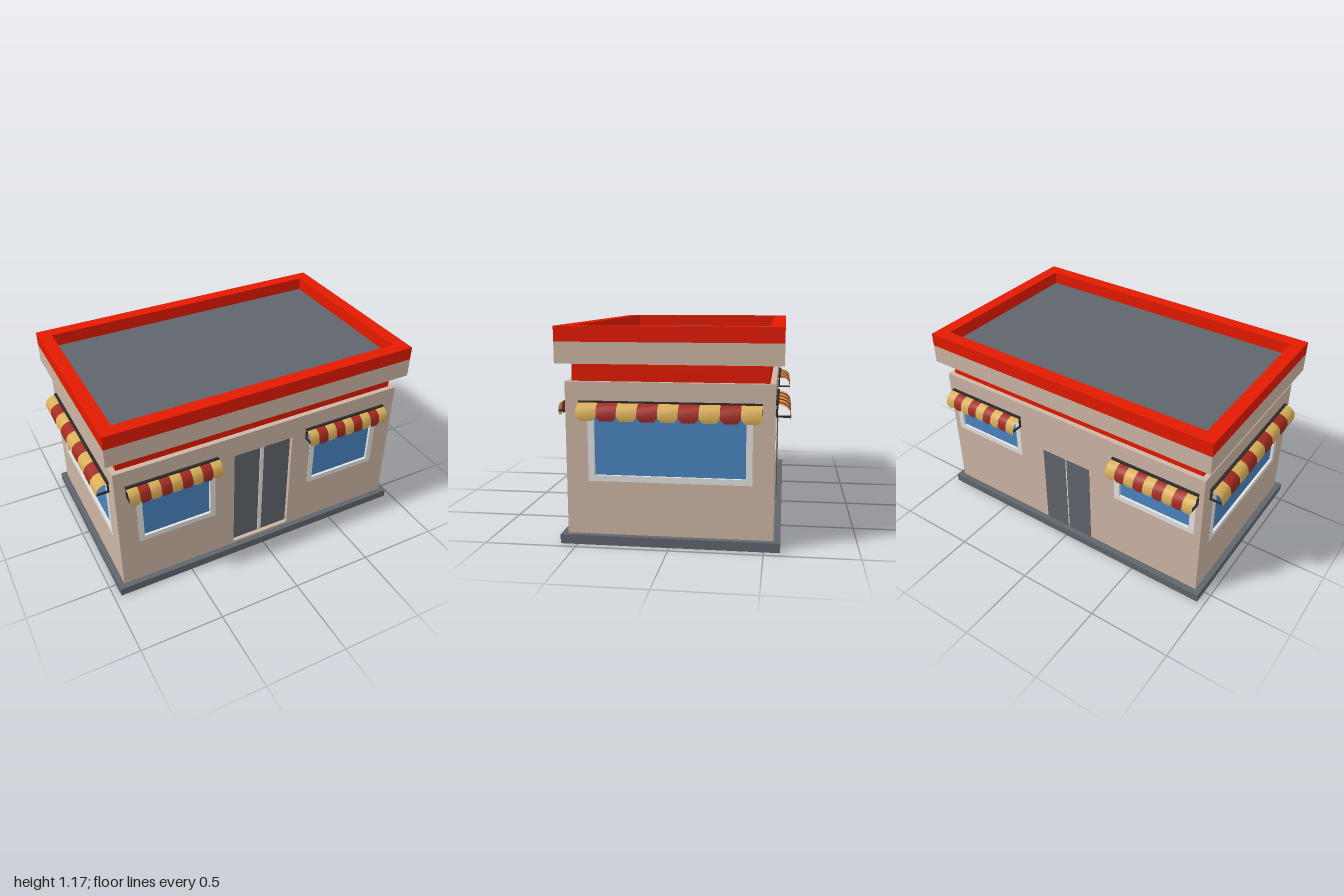
import * as THREE from 'three';

const mat = (name, color, side = THREE.FrontSide) => {
  const m = new THREE.MeshStandardMaterial({ color, side });
  m.name = name;
  return m;
};

export function createModel() {
  const M = {
    wall: mat('beige plaster', 0xcdb5a4),
    red: mat('bright red trim', 0xe31a00),
    grey: mat('slate grey', 0x60656d),
    glass: mat('blue glass', 0x4a84c0),
    frame: mat('light frame', 0xe2e2e0),
    yellow: mat('awning yellow', 0xd9ae57, THREE.DoubleSide),
    stripe: mat('awning red', 0xa22a20, THREE.DoubleSide),
    black: mat('black metal', 0x2b2b2b),
  };
  const model = new THREE.Group();
  model.name = 'shop';

  const add = (parent, name, geo, material, x = 0, y = 0, z = 0) => {
    const m = new THREE.Mesh(geo, material);
    m.name = name;
    m.position.set(x, y, z);
    parent.add(m);
    return m;
  };
  // Box given by its minimum and maximum on each axis
  const box = (parent, name, material, x0, x1, y0, y1, z0, z1) =>
    add(parent, name, new THREE.BoxGeometry(x1 - x0, y1 - y0, z1 - z0), material,
      (x0 + x1) / 2, (y0 + y1) / 2, (z0 + z1) / 2);

  const rect = (x0, x1, y0, y1, Type = THREE.Shape) =>
    new Type([[x0, y0], [x1, y0], [x1, y1], [x0, y1]].map(p => new THREE.Vector2(...p)));
  // Rectangular panel with rectangular holes, extruded along z
  const panel = (outer, holes, depth) => {
    const s = rect(...outer);
    holes.forEach(h => s.holes.push(rect(...h, THREE.Path)));
    return new THREE.ExtrudeGeometry(s, { depth, bevelEnabled: false });
  };
  // Flat rectangular ring lying in the ground plane
  const ring = (name, material, ox, oz, ix, iz, y0, y1) => {
    const g = panel([-ox, ox, -oz, oz], [[-ix, ix, -iz, iz]], y1 - y0);
    add(model, name, g.rotateX(-Math.PI / 2), material, 0, y0, 0.003);
  };

  const T = 0.03; // wall thickness

  // Window: frame with recessed glass, local wall plane at z = 0
  const addWindow = (side, [x0, x1, y0, y1]) => {
    const inner = [x0 + 0.034, x1 - 0.034, y0 + 0.032, y1 - 0.032];
    add(side, 'windowFrame', panel([x0, x1, y0, y1], [inner], T + 0.005), M.frame, 0, 0, -T - 0.003);
    box(side, 'windowGlass', M.glass, ...inner, -0.022, -0.014);
  };

  // Striped awning: curved cloth, top rail, end brackets and arms
  const addAwning = (side, cx, width, d) => {
    const g = new THREE.Group();
    g.name = 'awning';
    g.position.set(cx, 0, 0);
    side.add(g);
    const profile = [[0.01, 0.772], [0.4 * d, 0.769], [0.7 * d, 0.759], [0.91 * d, 0.741],
      [d, 0.706], [0.94 * d, 0.683]];
    const n = 9, w = width / n;
    for (let i = 0; i < n; i++) {
      const geo = new THREE.PlaneGeometry(w, 1, 1, profile.length - 1);
      const p = geo.attributes.position;
      for (let k = 0; k < p.count; k++) {
        const row = Math.floor(k / 2);
        const narrow = row === profile.length - 1 ? 0.62 : 1;
        p.setXYZ(k, p.getX(k) * narrow, profile[row][1], profile[row][0]);
      }
      geo.computeVertexNormals();
      add(g, 'awningStripe', geo, i % 2 ? M.stripe : M.yellow, (i - (n - 1) / 2) * w);
    }
    const h = width / 2;
    box(g, 'awningRail', M.black, -h, h, 0.77, 0.78, -T - 0.004, 0.016);
    for (const s of [-1, 1]) {
      const x = s * (h - 0.006);
      box(g, 'awningBracket', M.black, x - 0.005, x + 0.005, 0.705, 0.778, 0.002, 0.011);
      box(g, 'awningArm', M.black, x - 0.005, x + 0.005, 0.705, 0.715, 0.002, d - 0.004);
    }
  };

  // One wall with its openings, windows and awnings, turned to face outward
  const addSide = (name, half, angle, px, pz, windows, awnings, doors = []) => {
    const side = new THREE.Group();
    side.name = name;
    side.position.set(px, 0, pz);
    side.rotation.y = angle;
    model.add(side);
    add(side, 'wall', panel([-half, half, 0.05, 0.88], [...windows, ...doors], T), M.wall, 0, 0, -T);
    windows.forEach(w => addWindow(side, w));
    awnings.forEach(a => addAwning(side, ...a));
    return side;
  };

  const front = addSide('frontSide', 0.922, 0, 0, 0.558,
    [[-0.805, -0.32, 0.345, 0.74], [0.32, 0.805, 0.345, 0.74]],
    [[-0.58, 0.56, 0.066], [0.56, 0.56, 0.066]],
    [[-0.195, 0.19, 0.065, 0.745]]);
  const back = addSide('backSide', 0.922, Math.PI, 0, -0.55,
    [[-0.88, -0.35, 0.475, 0.74], [0.35, 0.88, 0.475, 0.74]],
    [[-0.613, 0.555, 0.08], [0.617, 0.555, 0.08]]);
  const sideWindow = [[-0.435, 0.44, 0.345, 0.74]];
  addSide('leftSide', 0.524, Math.PI / 2, 0.922, 0.004, sideWindow, [[0.006, 0.967, 0.078]]);
  addSide('rightSide', 0.524, -Math.PI / 2, -0.922, 0.004, sideWindow, [[-0.006, 0.967, 0.078]]);

  // Recessed double front door with a light centre post
  box(front, 'frontDoorLeaf', M.grey, -0.195, -0.012, 0.065, 0.745, -0.036, -0.024);
  box(front, 'frontDoorLeaf', M.grey, 0.008, 0.19, 0.065, 0.745, -0.036, -0.024);
  box(front, 'frontDoorPost', M.frame, -0.014, 0.01, 0.065, 0.745, -0.038, -0.018);

  // Plain double back door, almost flush
  for (const s of [-1, 1]) {
    const x = s * 0.087;
    box(back, 'backDoorLeaf', M.grey, x - 0.083, x + 0.083, 0.055, 0.6, -0.002, 0.004);
  }
  box(back, 'backDoorSeam', M.frame, -0.004, 0.004, 0.055, 0.6, -0.002, 0.003);

  // Hollow plinth: thin skirt and a ledge against the walls
  ring('plinthSkirt', M.grey, 0.957, 0.59, 0.951, 0.584, 0, 0.045);
  ring('plinthLedge', M.grey, 0.957, 0.59, 0.9, 0.53, 0.045, 0.051);

  // Red neck, overhanging cornice, parapet and sunken roof
  box(model, 'ceiling', M.wall, -0.888, 0.888, 0.865, 0.875, -0.519, 0.527);
  box(model, 'redNeck', M.red, -0.892, 0.892, 0.875, 0.977, -0.52, 0.527);
  box(model, 'cornice', M.wall, -0.965, 0.965, 0.977, 1.091, -0.592, 0.598);
  ring('parapet', M.red, 0.965, 0.595, 0.887, 0.518, 1.091, 1.172);
  box(model, 'roof', M.grey, -0.887, 0.887, 1.086, 1.094, -0.515, 0.521);

  return model;
}
